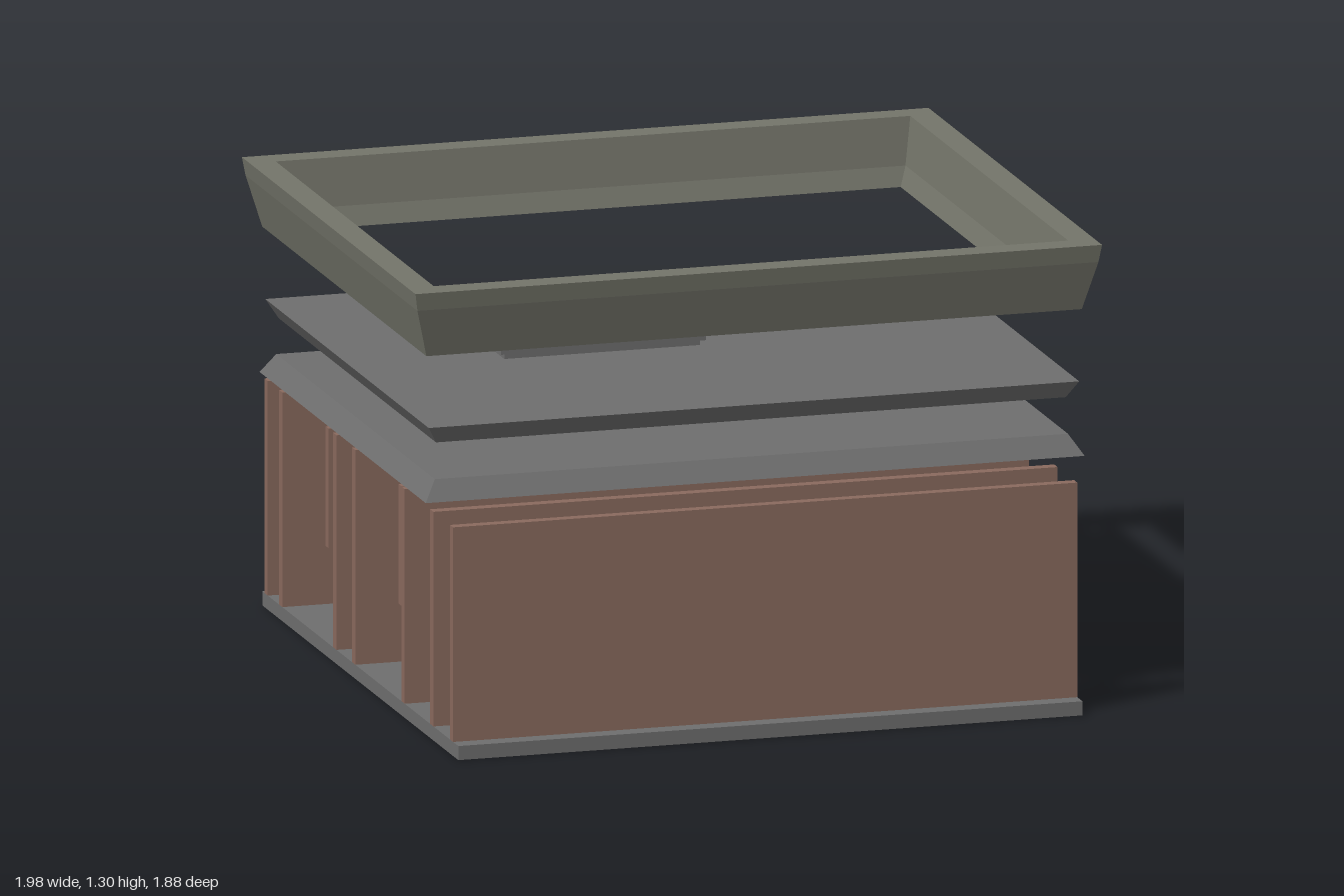
import * as THREE from 'three';

const mat = (color) => new THREE.MeshStandardMaterial({ color, flatShading: true });
const brick = mat(0x8a6a5e), grey = mat(0x6e6e6e), stone = mat(0x74756a);

function rect(path, x0, x1, y0, y1) {
  path.moveTo(x0, y0);
  path.lineTo(x1, y0);
  path.lineTo(x1, y1);
  path.lineTo(x0, y1);
  path.closePath();
  return path;
}

function part(parent, name, geometry, material) {
  const mesh = new THREE.Mesh(geometry, material);
  mesh.name = name;
  parent.add(mesh);
  return mesh;
}

const extrude = (shape, depth) => new THREE.ExtrudeGeometry(shape, { depth, bevelEnabled: false });

// Extrudes a plan (drawn in x, -z) upward from y0
function plate(shape, y0, height) {
  return extrude(shape, height).rotateX(-Math.PI / 2).translate(0, y0, 0);
}

// Slants the outer sides: rim vertices at the given level move inward
function taper(geo, atTop, inset) {
  const p = geo.attributes.position;
  geo.computeBoundingBox();
  const { min, max } = geo.boundingBox;
  const level = atTop ? max.y : min.y;
  for (let i = 0; i < p.count; i++) {
    if (Math.abs(p.getY(i) - level) > 1e-4) continue;
    const x = p.getX(i), z = p.getZ(i);
    if (Math.abs(x) > 0.7) p.setX(i, x - Math.sign(x) * inset);
    if (Math.abs(z) > 0.7) p.setZ(i, z - Math.sign(z) * inset);
  }
  geo.computeVertexNormals();
  return geo;
}

// Sweeps a closed [inset, y] profile around a mitred rectangle
function mitredRing(hx, hz, profile) {
  const corners = [[1, 1], [1, -1], [-1, -1], [-1, 1]];
  const n = profile.length, pos = [], index = [];
  for (const [sx, sz] of corners)
    for (const [d, y] of profile) pos.push(sx * (hx - d), y, sz * (hz - d));
  for (let k = 0; k < 4; k++)
    for (let i = 0; i < n; i++) {
      const j = (i + 1) % n, m = (k + 1) % 4;
      const a = k * n + i, b = k * n + j, c = m * n + j, d = m * n + i;
      index.push(a, b, c, a, c, d);
    }
  const geo = new THREE.BufferGeometry();
  geo.setAttribute('position', new THREE.Float32BufferAttribute(pos, 3));
  geo.setIndex(index);
  const flat = geo.toNonIndexed();
  flat.computeVertexNormals();
  return flat;
}

const FLOOR = 0.04, TOP = 0.65, SILL = 0.22, HEAD = 0.53;
const windows = [[0.59, 0.77], [-0.3, -0.13], [-0.76, -0.59]];
const door = [0.14, 0.31];

// Wall with a doorway and framed windows, frames standing out toward +z
function wall(name, z, x0, x1) {
  const group = new THREE.Group();
  group.name = name;
  const shape = new THREE.Shape();
  shape.moveTo(x0, FLOOR);
  shape.lineTo(door[0], FLOOR);
  shape.lineTo(door[0], HEAD);
  shape.lineTo(door[1], HEAD);
  shape.lineTo(door[1], FLOOR);
  shape.lineTo(x1, FLOOR);
  shape.lineTo(x1, TOP);
  shape.lineTo(x0, TOP);
  shape.closePath();
  for (const [a, b] of windows) {
    if (a < x0 || b > x1) continue;
    shape.holes.push(rect(new THREE.Path(), a, b, SILL, HEAD));
    const frame = rect(new THREE.Shape(), a - 0.015, b + 0.015, SILL - 0.015, HEAD + 0.015);
    frame.holes.push(rect(new THREE.Path(), a, b, SILL, HEAD));
    part(group, 'windowFrame', extrude(frame, 0.025), brick).position.z = 0.032;
  }
  part(group, 'wallPanel', extrude(shape, 0.032), brick);
  group.position.z = z;
  return group;
}

export function createModel() {
  const model = new THREE.Group();
  model.name = 'explodedBuilding';

  // Ground slab
  part(model, 'floorSlab', plate(rect(new THREE.Shape(), -0.9, 0.9, -0.935, 0.94), 0, FLOOR), grey);

  // Solid front wall
  part(model, 'frontWall', new THREE.BoxGeometry(1.8, TOP - FLOOR, 0.03), brick)
    .position.set(0, (TOP + FLOOR) / 2, 0.87);

  // Inner walls and back wall: back face z, x range
  const walls = [
    [0.665, -0.9, 0.9], [0.39, -0.9, 0.9], [0.182, -0.66, 0.66],
    [-0.082, -0.9, 0.66], [-0.262, -0.9, 0.9], [-0.448, -0.66, 0.9],
    [-0.634, -0.66, 0.66], [-0.78, -0.9, 0.9], [-0.92, -0.9, 0.9],
  ];
  walls.forEach(([z, x0, x1], i) =>
    model.add(wall(i === walls.length - 1 ? 'backWall' : 'innerWall', z, x0, x1)));

  // Ceiling plate with sloped edges
  part(model, 'ceilingPlate',
    taper(plate(rect(new THREE.Shape(), -0.95, 0.95, -0.79, 0.8), 0.7, 0.057), true, 0.037), grey);

  // Roof plate, undercut at the edges, with a hatch opening
  const hatch = [-0.485, 0.035, -0.05, 0.445];
  const roof = rect(new THREE.Shape(), -0.938, 0.938, -0.778, 0.785);
  roof.holes.push(rect(new THREE.Path(), ...hatch));
  part(model, 'roofPlate', taper(plate(roof, 0.86, 0.05), false, 0.03), grey);

  // Hatch curb: narrow upstand below a wider lip
  for (const [name, grow, y, h] of [['hatchUpstand', 0.022, 0.908, 0.018], ['hatchLip', 0.036, 0.926, 0.024]]) {
    const [a, b, c, d] = hatch;
    const ring = rect(new THREE.Shape(), a - grow, b + grow, c - grow, d + grow);
    ring.holes.push(rect(new THREE.Path(), ...hatch));
    part(model, name, plate(ring, y, h), grey);
  }

  // Outward-flaring cornice ring
  const profile = [[0, 1.305], [0.008, 1.255], [0.045, 1.115], [0.115, 1.115], [0.095, 1.17], [0.075, 1.305]];
  part(model, 'corniceRing', mitredRing(0.99, 0.83, profile), stone).position.z = -0.006;

  return model;
}
